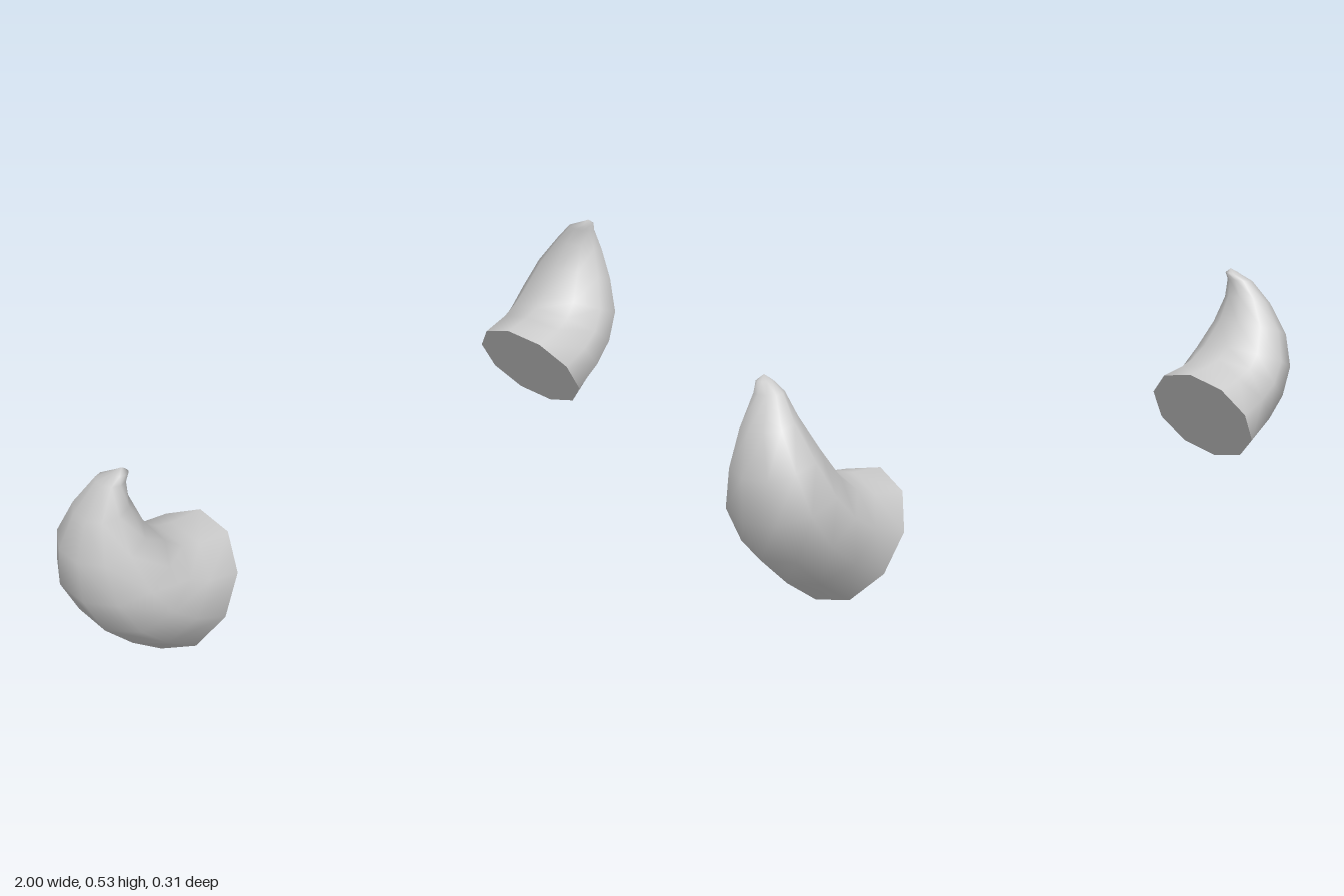
import * as THREE from 'three';

const SIDES = 10;
const PHASE = THREE.MathUtils.degToRad(6);

// Cross-sections from base to tip: inner x, y, outer x, y, back z, front z
const RINGS = [
  [0.61, 0.273, 0.79, 0.0, -0.157, 0.157],
  [0.70, 0.281, 0.875, 0.062, -0.158, 0.157],
  [0.747, 0.293, 0.95, 0.134, -0.158, 0.153],
  [0.79, 0.32, 1.0, 0.23, -0.15, 0.138],
  [0.837, 0.385, 1.002, 0.328, -0.12, 0.102],
  [0.867, 0.452, 0.976, 0.42, -0.067, 0.07],
  [0.875, 0.497, 0.932, 0.492, -0.02, 0.055],
  [0.877, 0.515, 0.913, 0.515, 0.022, 0.058],
];
const TIP = [0.893, 0.527, 0.043];

// side = 1 for the model's left horn, -1 for its mirror image
function hornGeometry(side) {
  const positions = [];
  const index = [];
  const tri = (a, b, c) => (side > 0 ? index.push(a, b, c) : index.push(a, c, b));

  const addRing = ([ix, iy, ox, oy, back, front]) => {
    for (let i = 0; i < SIDES; i++) {
      const t = PHASE + (i / SIDES) * Math.PI * 2;
      const k = (1 + Math.cos(t)) / 2;
      positions.push(
        side * (ix + (ox - ix) * k),
        iy + (oy - iy) * k,
        (back + front) / 2 + ((front - back) / 2) * Math.sin(t),
      );
    }
  };

  // Curved skin
  RINGS.forEach(addRing);
  const last = (RINGS.length - 1) * SIDES;
  const tip = RINGS.length * SIDES;
  positions.push(side * TIP[0], TIP[1], TIP[2]);
  for (let i = 0; i < SIDES; i++) {
    const n = (i + 1) % SIDES;
    for (let r = 0; r < last; r += SIDES) {
      tri(r + i, r + SIDES + i, r + n);
      tri(r + n, r + SIDES + i, r + SIDES + n);
    }
    tri(last + i, tip, last + n);
  }

  // Flat base, with its own corners so the rim stays sharp
  const base = tip + 1;
  addRing(RINGS[0]);
  for (let i = 1; i < SIDES - 1; i++) tri(base, base + i, base + i + 1);

  const geometry = new THREE.BufferGeometry();
  geometry.setAttribute('position', new THREE.Float32BufferAttribute(positions, 3));
  geometry.setIndex(index);
  geometry.computeVertexNormals();
  return geometry;
}

export function createModel() {
  const group = new THREE.Group();
  group.name = 'horns';
  const material = new THREE.MeshStandardMaterial({ color: 0xcccccc });
  for (const [name, side] of [['leftHorn', 1], ['rightHorn', -1]]) {
    const horn = new THREE.Mesh(hornGeometry(side), material);
    horn.name = name;
    group.add(horn);
  }
  return group;
}
